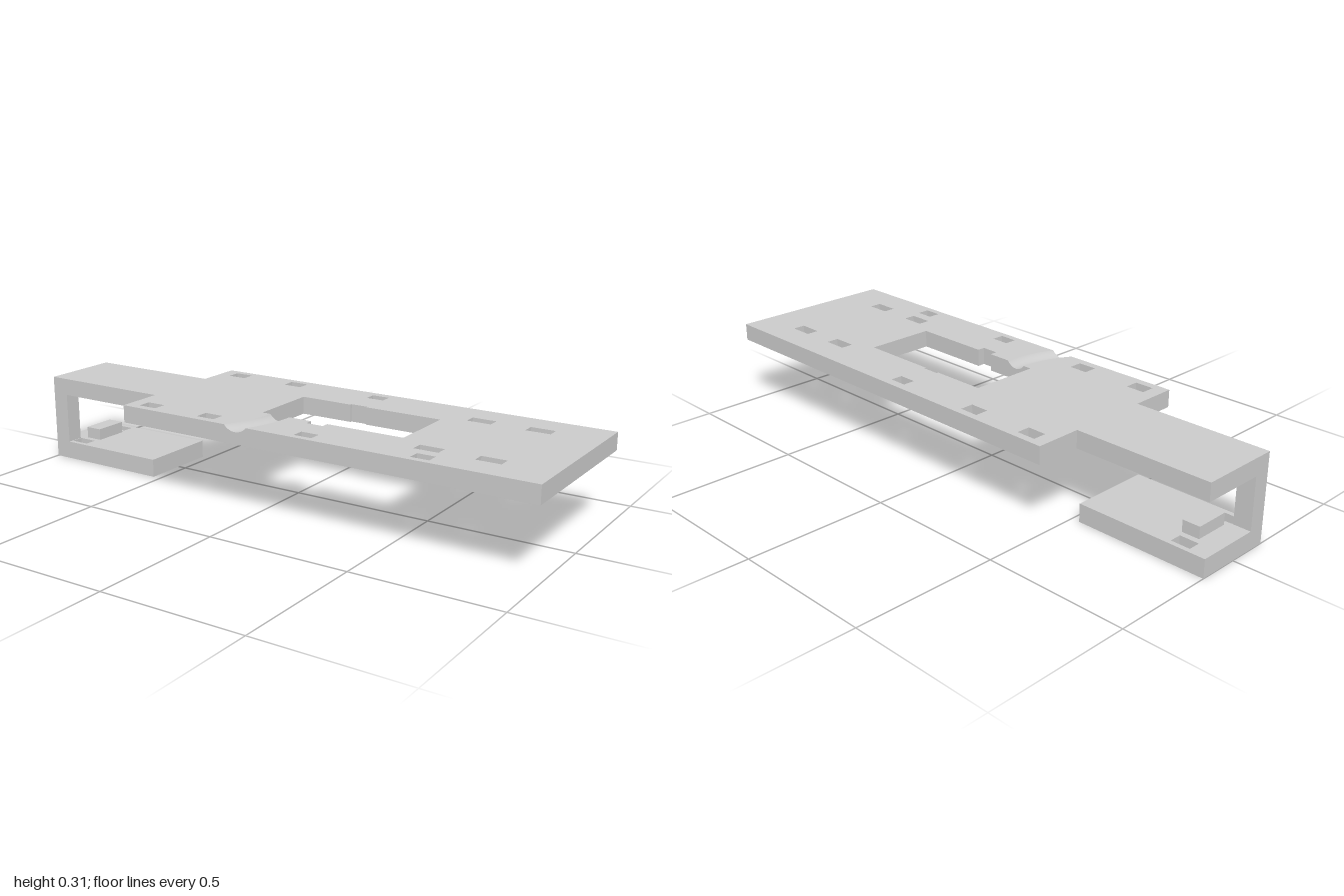
import * as THREE from 'three';
import { ParametricGeometry } from 'three/addons/geometries/ParametricGeometry.js';

const TOP = 0.306, UNDER = 0.245;        // main plate heights
const Z0 = 0.123, Z1 = 0.307;            // groove runs from the opening to the front edge
const CX = -0.37, R0 = 0.34, R1 = 0.415; // groove bend centre and edge radii
const DEPTH = 0.02;

// x of a concentric groove line at depth z
const bendX = (r, z) => CX + Math.sqrt(r * r - (z - Z0) ** 2);
const grooveX = (t, z) => THREE.MathUtils.lerp(bendX(R0, z), bendX(R1, z), t);

// circular trough profile across the groove
function grooveY(t) {
  const half = (R1 - R0) / 2, r = (half * half + DEPTH * DEPTH) / (2 * DEPTH);
  const d = (2 * t - 1) * half;
  return TOP - DEPTH + r - Math.sqrt(r * r - d * d);
}

function edgePoints(r, from, to, n = 16) {
  const pts = [];
  for (let i = 0; i <= n; i++) {
    const z = THREE.MathUtils.lerp(from, to, i / n);
    pts.push([bendX(r, z), z]);
  }
  return pts;
}

// flat slab from an x/z outline with rectangular slots [x0, x1, z0, z1]
function slab(outline, slots, top, thickness) {
  const shape = new THREE.Shape(outline.map(([x, z]) => new THREE.Vector2(x, z)));
  for (const [x0, x1, z0, z1] of slots) {
    // slots wind opposite to the outline so their walls face inward
    shape.holes.push(new THREE.Path([[x0, z0], [x1, z0], [x1, z1], [x0, z1]]
      .map(([x, z]) => new THREE.Vector2(x, z))));
  }
  return new THREE.ExtrudeGeometry(shape, { depth: thickness, bevelEnabled: false })
    .rotateX(Math.PI / 2).translate(0, top, 0);
}

function box(x0, x1, y0, y1, z0, z1) {
  return new THREE.BoxGeometry(x1 - x0, y1 - y0, z1 - z0)
    .translate((x0 + x1) / 2, (y0 + y1) / 2, (z0 + z1) / 2);
}

export function createModel() {
  const model = new THREE.Group();
  model.name = 'slottedBracket';
  const grey = new THREE.MeshStandardMaterial({ color: 0xcacaca });
  grey.name = 'lightGrey';
  const add = (name, geometry, parent = model) => {
    const mesh = new THREE.Mesh(geometry, grey);
    mesh.name = name;
    parent.add(mesh);
  };

  // main plate with tab and notched opening, parted along the groove
  const outline = [
    [1, Z1], [1, -Z1], [-0.51, -Z1], [-0.51, -0.143], [-1, -0.143],
    [-1, 0.143], [-0.51, 0.143], [-0.51, Z1],
    ...edgePoints(R0, Z1, Z0),
    [-0.062, Z0], [-0.062, -0.125],
    [0.13, -0.125], [0.13, -0.132], [0.192, -0.132], [0.192, -0.125],
    [0.47, -0.125], [0.47, Z0],
    [0.192, Z0], [0.192, 0.15], [0.13, 0.15], [0.13, Z0],
    ...edgePoints(R1, Z0, Z1),
  ];
  const slots = [
    [0.13, 0.193, -0.277, -0.234],
    [0.17, 0.235, 0.241, 0.284],
    [0.58, 0.643, 0.241, 0.284],
  ];
  for (const x of [-0.463, -0.216]) {
    slots.push([x, x + 0.068, -0.281, -0.233], [x, x + 0.068, 0.231, 0.279]);
  }
  for (const x of [0.547, 0.75]) {
    slots.push([x, x + 0.084, -0.207, -0.163], [x, x + 0.084, 0.16, 0.203]);
  }
  add('mainPlate', slab(outline, slots, TOP, TOP - UNDER));

  // curved groove: trough, underside and the two end faces
  const groove = new THREE.Group();
  groove.name = 'curvedGroove';
  model.add(groove);
  const zAt = (s) => THREE.MathUtils.lerp(Z0, Z1, s);
  const yAt = (t, s) => THREE.MathUtils.lerp(UNDER, grooveY(t), s);
  add('grooveTrough', new ParametricGeometry(
    (u, v, p) => p.set(grooveX(v, zAt(u)), grooveY(v), zAt(u)), 16, 16), groove);
  add('grooveUnderside', new ParametricGeometry(
    (u, v, p) => p.set(grooveX(u, zAt(v)), UNDER, zAt(v)), 16, 16), groove);
  add('grooveFrontEnd', new ParametricGeometry(
    (u, v, p) => p.set(grooveX(u, Z1), yAt(u, v), Z1), 16, 1), groove);
  add('grooveOpeningEnd', new ParametricGeometry(
    (u, v, p) => p.set(grooveX(v, Z0), yAt(v, u), Z0), 1, 16), groove);

  // lower clamp: post, foot plate with two slots, and raised block
  add('post', box(-1, -0.938, 0.064, UNDER, 0.083, 0.143));
  add('footPlate', slab(
    [[-1, -0.143], [-1, 0.143], [-0.53, 0.143], [-0.53, -0.143]],
    [[-0.935, -0.867, -0.126, -0.083], [-0.935, -0.867, 0.083, 0.126]], 0.064, 0.064));
  add('footBlock', box(-0.92, -0.858, 0.064, 0.105, -0.062, 0.062));

  return model;
}
